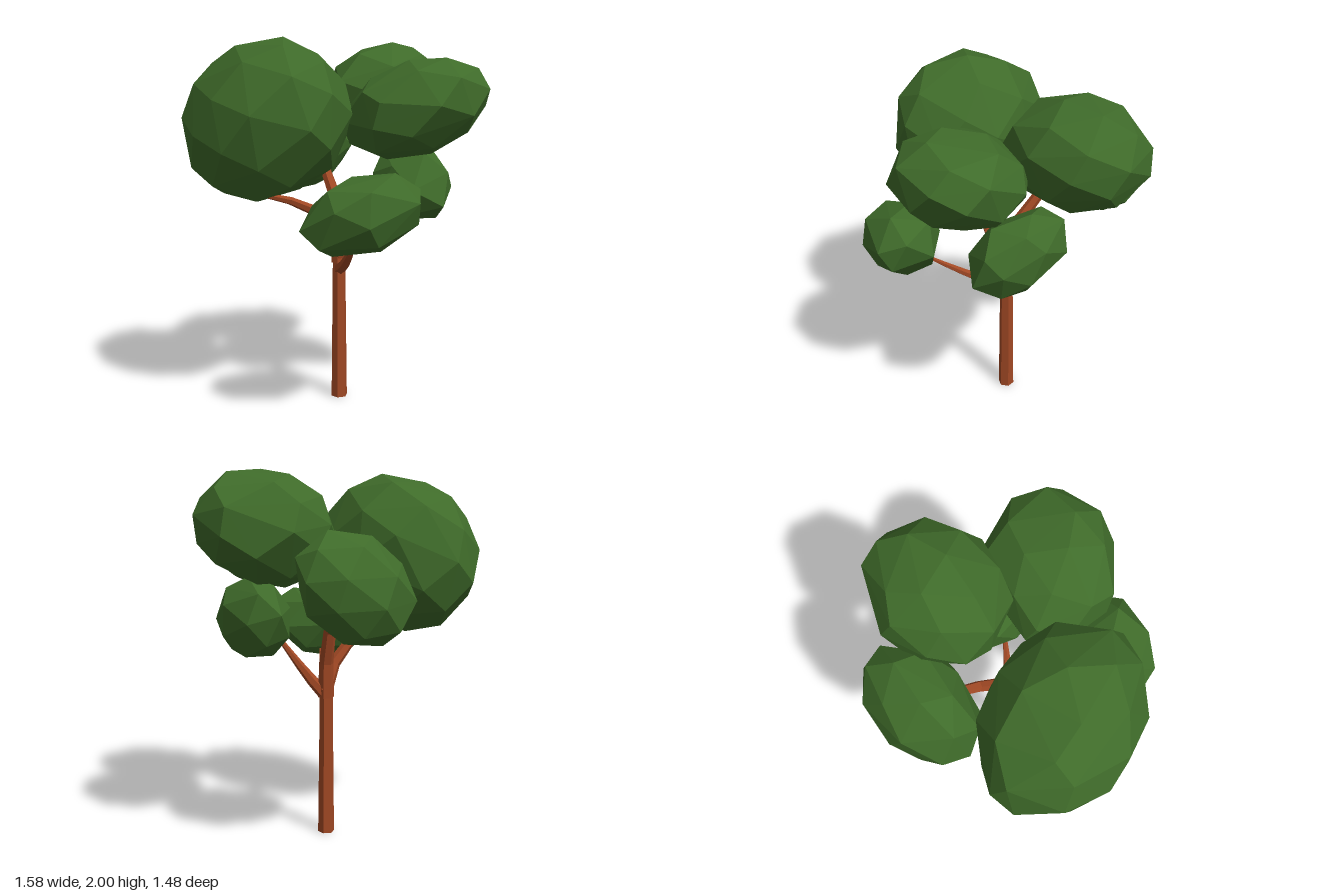
import * as THREE from 'three';
import { ConvexGeometry } from 'three/addons/geometries/ConvexGeometry.js';

const bark = new THREE.MeshStandardMaterial({ color: 0xa04824, flatShading: true, side: THREE.DoubleSide });
const leaves = new THREE.MeshStandardMaterial({ color: 0x3f6b2a, flatShading: true });

// Small seeded generator for the uneven facets
function seeded(seed) {
  let s = seed * 7919 + 17;
  return () => (s = (s * 16807) % 2147483647) / 2147483647;
}

// Faceted leaf clump fitted to a box; tiltX and tiltZ slope it along x and z,
// skew stretches it along the diagonal of its plan
function clump(name, min, max, count, seed, tiltX, tiltZ, skew) {
  const rand = seeded(seed);
  const points = [];
  for (let i = 0; i < count; i++) {
    const y = 1 - (2 * (i + 0.5)) / count;
    const r = Math.sqrt(1 - y * y);
    const a = i * 2.39996 + seed + (rand() - 0.5) * 0.4;
    const x = r * Math.cos(a), z = r * Math.sin(a);
    points.push(new THREE.Vector3(x + skew * z, y + tiltX * x + tiltZ * z, z + skew * x));
  }
  const box = new THREE.Box3().setFromPoints(points);
  const size = box.getSize(new THREE.Vector3());
  const lo = new THREE.Vector3(...min);
  const span = new THREE.Vector3(...max).sub(lo);
  points.forEach((p) => p.sub(box.min).divide(size).multiply(span).add(lo));
  const mesh = new THREE.Mesh(new ConvexGeometry(points), leaves);
  mesh.name = name;
  return mesh;
}

// Six-sided limb following a curve, tapering from r0 to r1
function limb(name, path, r0, r1) {
  const curve = new THREE.CatmullRomCurve3(path.map((p) => new THREE.Vector3(...p)));
  const segments = 4, sides = 6;
  const geometry = new THREE.TubeGeometry(curve, segments, 1, sides);
  const pos = geometry.attributes.position;
  const v = new THREE.Vector3();
  for (let i = 0; i < pos.count; i++) {
    const t = Math.floor(i / (sides + 1)) / segments;
    const centre = curve.getPointAt(t);
    v.fromBufferAttribute(pos, i).sub(centre).multiplyScalar(r0 + (r1 - r0) * t).add(centre);
    pos.setXYZ(i, v.x, v.y, v.z);
  }
  const mesh = new THREE.Mesh(geometry, bark);
  mesh.name = name;
  return mesh;
}

export function createModel() {
  const tree = new THREE.Group();
  tree.name = 'tree';

  // Trunk
  const trunk = new THREE.Mesh(new THREE.CylinderGeometry(0.036, 0.046, 0.84, 6), bark);
  trunk.name = 'trunk';
  trunk.position.set(-0.011, 0.42, -0.042);
  tree.add(trunk);

  // Branches
  tree.add(
    limb('backBranch', [[-0.01, 0.78, -0.042], [-0.002, 0.95, -0.05], [0.015, 1.12, -0.09], [0.055, 1.28, -0.2], [0.15, 1.38, -0.38]], 0.045, 0.024),
    limb('rightBranch', [[0.0, 0.81, -0.04], [-0.07, 0.95, -0.03], [-0.16, 1.07, -0.05], [-0.32, 1.15, -0.09], [-0.5, 1.2, -0.12]], 0.044, 0.014),
    limb('leftBranch', [[-0.01, 0.79, -0.04], [0.06, 0.89, 0.02], [0.12, 1.0, 0.08], [0.19, 1.13, 0.15]], 0.038, 0.01),
    limb('frontRightBranch', [[-0.01, 0.74, -0.04], [-0.07, 0.79, 0.05], [-0.17, 0.88, 0.18], [-0.29, 1.0, 0.33]], 0.034, 0.008)
  );

  // Leaf clumps
  tree.add(
    clump('largeRightClump', [-0.79, 1.14, -0.67], [-0.04, 2, 0.29], 42, 1, 0.05, 0.12, 0.02),
    clump('upperLeftClump', [0.05, 1.43, -0.4], [0.79, 2, 0.25], 34, 2, 0.09, 0.08, 0),
    clump('upperFrontClump', [-0.26, 1.37, 0.05], [0.43, 1.89, 0.74], 34, 3, 0.13, 0.28, 0.06),
    clump('backClump', [-0.12, 1.13, -0.74], [0.54, 1.7, -0.26], 28, 4, 0.22, 0.13, 0.02),
    clump('lowerRightClump', [-0.6, 0.92, 0.19], [-0.09, 1.34, 0.68], 20, 5, 0.15, 0.25, 0.18),
    clump('lowerLeftClump', [0.11, 1.01, -0.08], [0.49, 1.45, 0.48], 22, 6, 0.16, -0.12, -0.1)
  );
  return tree;
}
